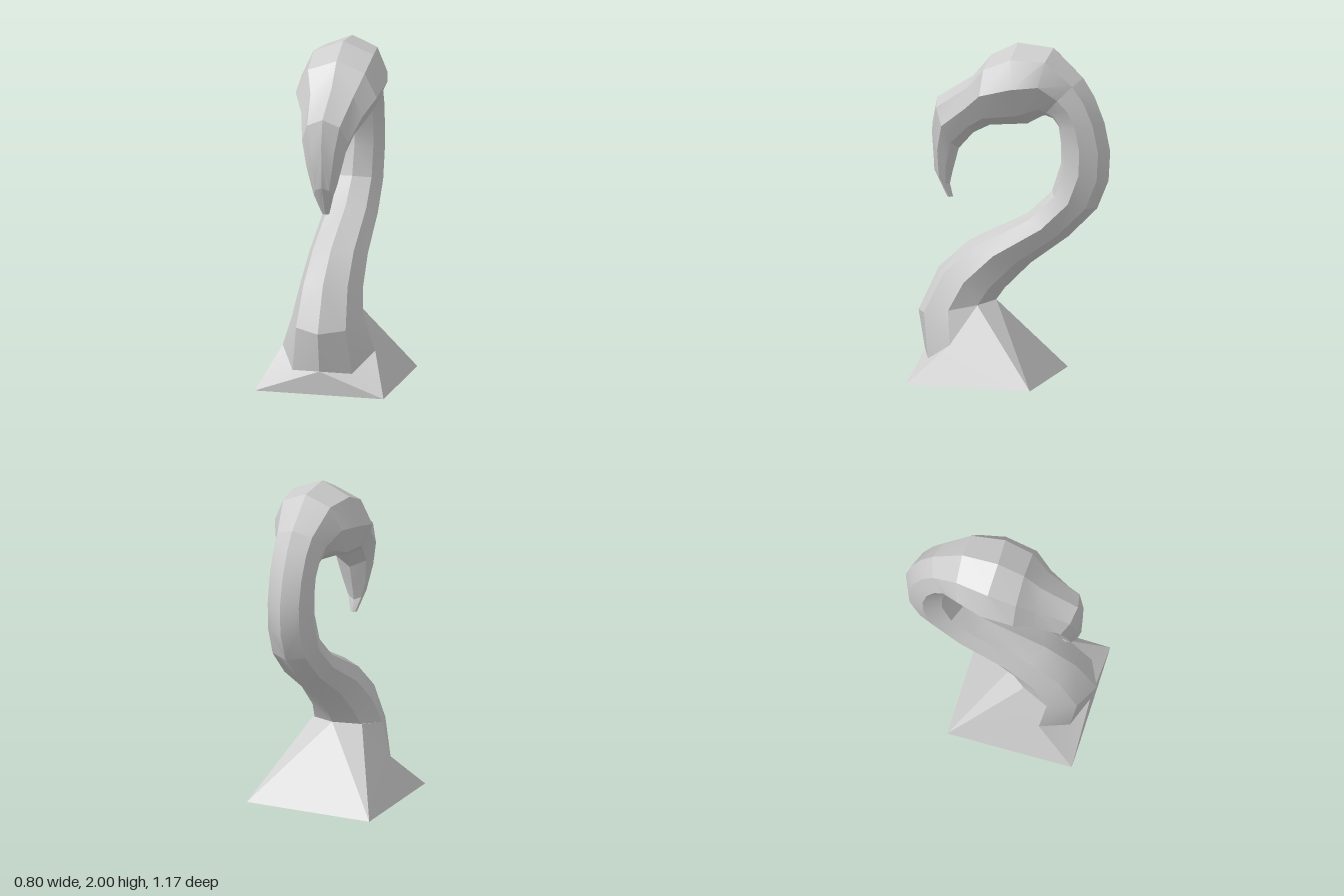
import * as THREE from 'three';
import { toCreasedNormals } from 'three/addons/utils/BufferGeometryUtils.js';

// Spine stations: outer edge z, y, inner edge z, y, half width
const NECK = [
  [0.11, 0.46, 0.585, 0.375, 0.215],
  [0.06, 0.53, 0.46, 0.64, 0.19],
  [-0.10, 0.69, 0.27, 0.81, 0.175],
  [-0.33, 0.86, -0.08, 0.985, 0.162],
  [-0.505, 1.035, -0.23, 1.125, 0.152],
  [-0.575, 1.205, -0.285, 1.295, 0.146],
  [-0.585, 1.38, -0.285, 1.41, 0.145],
  [-0.55, 1.55, -0.27, 1.515, 0.148],
  [-0.49, 1.70, -0.235, 1.56, 0.152],
  [-0.42, 1.81, -0.19, 1.575, 0.162],
];
const HEAD = [
  NECK[NECK.length - 1],
  [-0.24, 1.98, -0.17, 1.57, 0.22],
  [-0.02, 2.0, -0.08, 1.52, 0.26],
  [0.14, 1.92, 0.15, 1.50, 0.245],
  [0.25, 1.79, 0.25, 1.45, 0.185],
  [0.47, 1.65, 0.34, 1.35, 0.14],
  [0.50, 1.50, 0.38, 1.20, 0.105],
  [0.49, 1.24, 0.395, 1.13, 0.06],
  [0.41, 1.06, 0.375, 1.06, 0.022],
];

// Completes five half-ring points (outer edge to inner edge) by mirroring in x
const mirrorRing = (half) => {
  const pts = half.map((p) => new THREE.Vector3(...p));
  const other = [3, 2, 1].map((i) => pts[i].clone().multiply(new THREE.Vector3(-1, 1, 1)));
  return [...pts, ...other];
};

// Octagonal cross-section between the outer and inner edge of a station
const octagon = ([oz, oy, iz, iy, w]) =>
  mirrorRing([[0, 0], [0.15, 0.7], [0.49, 1], [0.84, 0.7], [1, 0]].map(([t, s]) =>
    [s * w, oy + (iy - oy) * t, oz + (iz - oz) * t]));

// Skins consecutive rings; flipEnds turns the diagonals beside the outer edge
function loft(name, rings, { capStart = false, capEnd = false, flipEnds = false } = {}) {
  const pos = [];
  const tri = (a, b, c) => {
    if (a.distanceTo(b) > 1e-5 && b.distanceTo(c) > 1e-5 && c.distanceTo(a) > 1e-5)
      for (const p of [a, b, c]) pos.push(p.x, p.y, p.z);
  };
  for (let i = 0; i < rings.length - 1; i++) {
    for (let j = 0; j < 8; j++) {
      const k = (j + 1) % 8;
      const a = rings[i][j], d = rings[i][k], b = rings[i + 1][j], c = rings[i + 1][k];
      const flip = flipEnds && (j === 0 || j === 7);
      if ((j < 4) !== flip) { tri(a, b, c); tri(a, c, d); }
      else { tri(a, b, d); tri(d, b, c); }
    }
  }
  const first = rings[0], last = rings[rings.length - 1];
  for (let j = 1; j < 7; j++) {
    if (capStart) tri(first[0], first[j], first[j + 1]);
    if (capEnd) tri(last[0], last[j + 1], last[j]);
  }
  const geo = new THREE.BufferGeometry();
  geo.setAttribute('position', new THREE.Float32BufferAttribute(pos, 3));
  const mesh = new THREE.Mesh(toCreasedNormals(geo, 0.38),
    new THREE.MeshStandardMaterial({ color: 0xcccccc }));
  mesh.name = name;
  return mesh;
}

export function createModel() {
  const group = new THREE.Group();
  group.name = 'birdHandle';

  // Square foot whose corners fan up to the collar
  const ground = mirrorRing([[0, 0, -0.21], [0.4, 0, -0.21], [0.39, 0, 0.55], [0.39, 0, 0.55], [0, 0, 0.55]]);
  const collar = mirrorRing([[0, 0.46, 0.11], [0.16, 0.448, 0.18], [0.28, 0.225, 0.315], [0.18, 0.12, 0.475], [0, 0.14, 0.545]]);
  group.add(loft('base', [ground, collar], { capStart: true, flipEnds: true }));

  // S-shaped neck rising out of the collar
  group.add(loft('neck', [collar, ...NECK.map(octagon)]));

  // Head tapering into the hooked beak
  group.add(loft('headAndBeak', HEAD.map(octagon), { capEnd: true }));
  return group;
}
